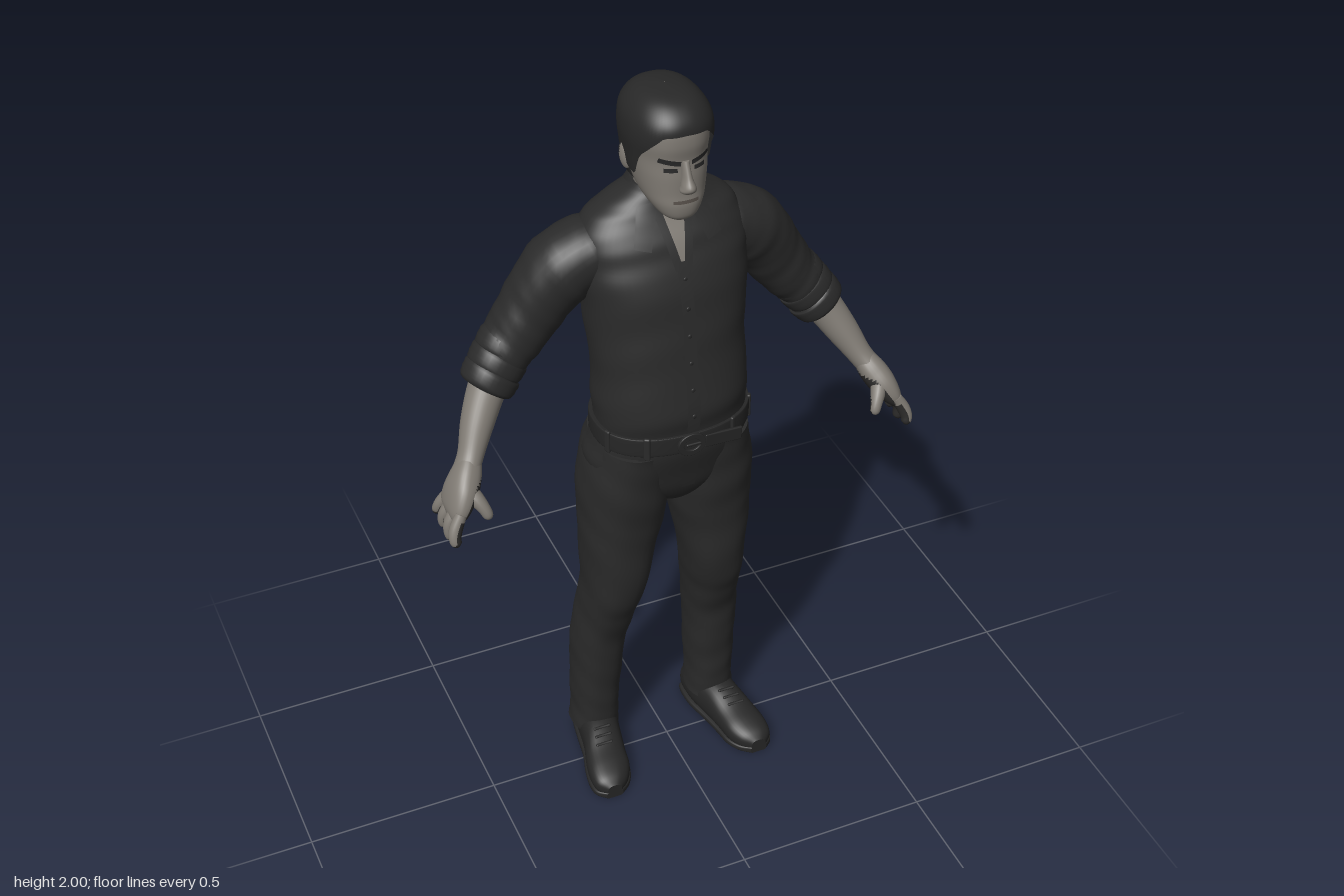
import * as THREE from 'three';
import { RoundedBoxGeometry } from 'three/addons/geometries/RoundedBoxGeometry.js';

const V = (x, y, z) => new THREE.Vector3(x, y, z);
const UP = V(0, 1, 0), Z = V(0, 0, 1);
const spow = (c, e) => Math.sign(c) * Math.pow(Math.abs(c), e);

// surface from f(u, v); front side is along (v direction) x (u direction)
function grid(nu, nv, f, closed = false) {
  const pos = [], idx = [], cols = closed ? nu : nu + 1;
  for (let j = 0; j <= nv; j++) for (let i = 0; i < cols; i++) pos.push(...f(i / nu, j / nv, j));
  for (let j = 0; j < nv; j++) for (let i = 0; i < nu; i++) {
    const k = (i + 1) % cols, a = j * cols + i, b = j * cols + k;
    idx.push(a, a + cols, b, b, a + cols, b + cols);
  }
  const g = new THREE.BufferGeometry();
  g.setAttribute('position', new THREE.Float32BufferAttribute(pos, 3));
  g.setIndex(idx);
  g.computeVertexNormals();
  return g;
}

// smooth interpolation between rows of [x, y, z, radiusA, radiusB]
function sample(rows, t) {
  const s = t * (rows.length - 1), i = Math.min(Math.floor(s), rows.length - 2), f = s - i;
  const r = k => rows[THREE.MathUtils.clamp(k, 0, rows.length - 1)];
  return r(i).map((b, k) => {
    const a = r(i - 1)[k], c = r(i + 1)[k], d = r(i + 2)[k];
    return b + 0.5 * f * (c - a + f * (2 * a - 5 * b + 4 * c - d + f * (3 * (b - c) + d - a)));
  });
}

// row of an upright body at a given height
function sampleAtY(rows, y) {
  let lo = 0, hi = 1;
  for (let i = 0; i < 24; i++) {
    const m = (lo + hi) / 2;
    if (sample(rows, m)[1] < y) lo = m; else hi = m;
  }
  return sample(rows, lo);
}

// skin over cross-sections, capped at both ends
function loft(rows, { n = 2.3, axis = null, ref = Z, seg = 32, steps = 6, fold = 0, floor = -9 } = {}) {
  const N = (rows.length - 1) * steps;
  return grid(seg, N + 4, (u, _, j) => {
    const k = THREE.MathUtils.clamp(j - 2, 0, N), t = k / N;
    const [x, y, z, ra, rb] = sample(rows, t);
    if (j === 0 || j === N + 4) return [x, Math.max(y, floor), z];
    const p = sample(rows, Math.max(0, t - 0.01)), q = sample(rows, Math.min(1, t + 0.01));
    const T = axis ? axis.clone() : V(q[0] - p[0], q[1] - p[1], q[2] - p[2]).normalize();
    const B = ref.clone().addScaledVector(T, -ref.dot(T)).normalize();
    const A = B.clone().cross(T), th = -u * Math.PI * 2, c = Math.cos(th), s = Math.sin(th);
    const w = 1 + fold * (Math.sin(t * 38 + 2.2 * c + 1.5 * s) + 0.6 * Math.sin(t * 67 - 3 * s + 2 * c));
    const v = V(x, y, z).addScaledVector(A, ra * w * spow(c, 2 / n)).addScaledVector(B, rb * w * spow(s, 2 / n));
    return [v.x, Math.max(v.y, floor), v.z];
  }, true);
}

// thin four-cornered plate laid on the front of an upright body
function patch(rows, off, [A, B, C, D], n = 2.3) {
  return grid(8, 10, (u, v) => {
    const mix = k => (A[k] * (1 - u) + B[k] * u) * (1 - v) + (D[k] * (1 - u) + C[k] * u) * v;
    const x = mix(0), y = mix(1), [cx, , cz, rx, rz] = sampleAtY(rows, y);
    const d = Math.min(1, Math.abs((x - cx) / rx));
    return [x, y, cz + rz * Math.pow(1 - Math.pow(d, n), 1 / n) + off];
  });
}
const rect = (x0, x1, y0, y1) => [[x0, y1], [x1, y1], [x1, y0], [x0, y0]];

// second material on the faces turned towards dir, below a height
function twoTone(g, dir, limit, top) {
  const a = g.index.array, p = g.attributes.position, nor = g.attributes.normal, sides = [[], []];
  for (let i = 0; i < a.length; i += 3) {
    const f = [a[i], a[i + 1], a[i + 2]], N = V(0, 0, 0);
    for (const k of f) N.add(V(nor.getX(k), nor.getY(k), nor.getZ(k)));
    sides[N.normalize().dot(dir) > limit && p.getY(f[0]) < top ? 1 : 0].push(...f);
  }
  g.setIndex([...sides[0], ...sides[1]]);
  g.addGroup(0, sides[0].length, 0);
  g.addGroup(sides[0].length, sides[1].length, 1);
  return g;
}

function mirrored(g) {
  const m = g.clone().scale(-1, 1, 1), a = m.index.array;
  for (let i = 0; i < a.length; i += 3) [a[i], a[i + 1]] = [a[i + 1], a[i]];
  m.computeVertexNormals();
  return m;
}

// slight sideways lean of the stance, growing towards the ground
function lean(g) {
  const p = g.attributes.position;
  for (let i = 0; i < p.count; i++) p.setX(i, p.getX(i) - .011 * Math.min(1, Math.max(0, 1.5 - p.getY(i) / .6)));
  return g;
}

export function createModel() {
  const model = new THREE.Group();
  const mat = (name, color) => new THREE.MeshStandardMaterial({ name, color, side: THREE.DoubleSide });
  const shirt = mat('shirt cloth', 0x2a2a2a), denim = mat('trouser cloth', 0x2a2a2a);
  const skin = mat('skin', 0x7f7a73), hairM = mat('hair', 0x282828);
  const leather = mat('leather', 0x262626), lip = mat('lips', 0x57504a), palmM = mat('dark palm', 0x2b2a29);
  const add = (name, g, m) => {
    const mesh = new THREE.Mesh(g, m);
    mesh.name = name;
    model.add(mesh);
  };
  const pair = (name, g, m) => { add(name + 'Left', g, m); add(name + 'Right', mirrored(g), m); };
  const leanPair = (name, g, m) => { add(name + 'Right', lean(mirrored(g)), m); add(name + 'Left', lean(g), m); };

  // shirt body
  const torso = [
    [0, 1.06, .008, .188, .138], [0, 1.13, .012, .187, .14], [0, 1.2, .013, .19, .146], [0, 1.3, 0, .187, .144],
    [0, 1.4, -.017, .195, .147], [0, 1.5, -.027, .203, .142], [0, 1.57, -.04, .207, .13], [0, 1.62, -.047, .2, .115],
    [0, 1.66, -.052, .177, .095], [0, 1.69, -.053, .132, .08], [0, 1.72, -.048, .084, .066], [0, 1.735, -.045, .068, .06]];
  add('shirtBody', loft(torso, { axis: UP, seg: 56, fold: .006 }), shirt);
  add('openNeck', patch(torso, .004, [[-.04, 1.71], [.04, 1.71], [.004, 1.575], [-.004, 1.575]]), skin);
  add('placket', patch(torso, .005, rect(-.016, .016, 1.14, 1.58)), shirt);
  for (let i = 0; i < 6; i++) {
    const y = 1.19 + i * .07, [, , cz, , rz] = sampleAtY(torso, y);
    add('button', new THREE.SphereGeometry(.006, 10, 8).scale(1, 1, .4).translate(0, y, cz + rz + .004), leather);
  }
  // collar: standing band round the back and two flaps
  add('collarBand', grid(40, 4, (u, v) => {
    const a = .55 + u * (Math.PI * 2 - 1.1), back = (1 - Math.cos(a)) / 2;
    const r = .065 + .03 * v * v + .008 * Math.sin(v * Math.PI);
    return [Math.sin(a) * r * 1.08, 1.705 + .055 * back - .06 * v, -.04 - .008 * v + Math.cos(a) * r + .012 * v * (1 - back)];
  }), shirt);
  pair('collarFlap', patch(torso, .009, [[.03, 1.715], [.082, 1.7], [.108, 1.622], [.07, 1.612]]), shirt);
  pair('shirtFrontEdge', patch(torso, .007, [[.03, 1.7], [.05, 1.7], [.02, 1.56], [.002, 1.57]]), shirt);

  // sleeves with rolled cuffs
  pair('sleeve', loft([
    [.1, 1.6, -.052, .04, .06], [.165, 1.58, -.058, .073, .086], [.235, 1.533, -.068, .087, .09],
    [.29, 1.46, -.078, .081, .08], [.34, 1.385, -.082, .074, .075], [.385, 1.33, -.078, .067, .07],
    [.42, 1.285, -.067, .062, .063]], { fold: .014, n: 2.1 }), shirt);
  [[.377, 1.342, -.079], [.401, 1.309, -.072], [.424, 1.276, -.063]].forEach(([x, y, z], i) =>
    pair('cuffRoll', loft([[x - .016, y + .02, z - .005, .061, .062], [x - .009, y + .012, z - .003, .07, .069],
      [x + .009, y - .012, z + .003, .069 - i * .001, .068], [x + .015, y - .02, z + .005, .058, .058]], { n: 2.1, steps: 4, fold: .01 }), shirt));

  // forearms and hands, dark on the palm side
  const inward = V(-.75, -.6, -.2).normalize(), handSkin = [skin, palmM];
  pair('forearm', loft([[.4, 1.31, -.07, .05, .05], [.44, 1.255, -.045, .046, .046], [.477, 1.195, -.012, .04, .041],
    [.508, 1.14, .023, .031, .034], [.528, 1.11, .042, .03, .038]], { n: 2 }), skin);
  pair('palm', twoTone(loft([[.518, 1.125, .034, .028, .032], [.533, 1.1, .05, .034, .042], [.551, 1.07, .063, .034, .054],
    [.569, 1.038, .07, .027, .057], [.578, 1.018, .071, .016, .048]], { n: 2.4 }), inward, .05, 1.1), handSkin);
  for (let i = 0; i < 4; i++) {
    const z = .026 + i * .03, s = (i - 1.5) * .013, tip = [.982, .966, .96, .97][i];
    pair('finger', twoTone(loft([[.57, 1.045, z, .014, .014], [.587, 1.015, z + s * .4, .0165, .015], [.594, .993, z + s * .8, .015, .0135],
      [.592, tip + .008, z + s, .0125, .012], [.589, tip, z + s, .003, .003]], { n: 2, seg: 16, steps: 4 }), inward, -.35, 1.035), handSkin);
  }
  pair('thumb', twoTone(loft([[.542, 1.09, .072, .02, .022], [.527, 1.067, .1, .019, .02], [.514, 1.045, .118, .015, .015],
    [.507, 1.026, .125, .012, .012], [.505, 1.019, .126, .003, .003]], { n: 2, seg: 16, steps: 4 }), V(-.3, -.6, -.7).normalize(), .15, 1.06), handSkin);

  // trousers
  const pelvis = [[0, .862, -.02, .02, .07], [0, .89, -.02, .08, .105], [0, .94, -.018, .17, .131],
    [0, 1, -.012, .208, .142], [0, 1.06, .004, .198, .143], [0, 1.1, .01, .19, .142]];
  add('trouserSeat', loft(pelvis, { axis: UP, seg: 48 }), denim);
  add('fly', patch(pelvis, .004, rect(-.012, .022, .95, 1.08)), denim);
  pair('frontPocket', patch(pelvis, .004, [[.11, 1.075], [.125, 1.075], [.185, 1.005], [.175, 1]]), denim);
  leanPair('trouserLeg', loft([
    [.1, 1.07, .004, .092, .132], [.106, .98, -.014, .106, .14], [.115, .86, -.02, .106, .129], [.124, .75, -.018, .095, .114], [.136, .6, -.02, .077, .105],
    [.145, .5, -.044, .07, .095], [.157, .4, -.064, .068, .085], [.162, .3, -.072, .065, .082], [.165, .2, -.079, .062, .078],
    [.167, .12, -.081, .06, .075], [.168, .065, -.082, .064, .073]], { axis: V(0, -1, 0), fold: .012, steps: 10 }), denim);

  // belt, loops, buckle and loose end
  add('belt', loft([[0, 1.085, .011, .194, .144], [0, 1.09, .012, .197, .147], [0, 1.13, .012, .197, .147], [0, 1.135, .012, .193, .145]],
    { axis: UP, seg: 56 }), leather);
  for (const a of [.55, 1.2, 2.3, Math.PI, -2.3, -1.2, -.55])
    add('beltLoop', new RoundedBoxGeometry(.016, .062, .01, 2, .004).rotateY(a)
      .translate(spow(Math.sin(a), 2 / 2.3) * .196, 1.11, .012 + spow(Math.cos(a), 2 / 2.3) * .147), denim);
  const ring = new THREE.Shape().absellipse(0, 0, .034, .029, 0, Math.PI * 2);
  ring.holes.push(new THREE.Path().absellipse(0, 0, .023, .018, 0, Math.PI * 2, true));
  add('buckle', new THREE.ExtrudeGeometry(ring, { depth: .005, bevelSize: .002, bevelThickness: .002, curveSegments: 24 })
    .translate(-.005, 1.108, .158), leather);
  add('buckleTongue', new RoundedBoxGeometry(.04, .007, .006, 2, .003).translate(0, 1.108, .163), leather);
  add('beltEnd', new RoundedBoxGeometry(.1, .036, .008, 2, .003).rotateY(.06).rotateZ(-.08).translate(.08, 1.1, .153), leather);

  // shoes
  const shoe = [[.157, .045, -.15, .03, .038], [.159, .05, -.135, .048, .055], [.165, .055, -.07, .055, .062],
    [.178, .052, 0, .053, .058], [.192, .042, .06, .056, .045], [.2, .036, .11, .056, .037], [.207, .03, .145, .044, .029], [.209, .026, .166, .02, .016]];
  leanPair('shoe', loft(shoe, { ref: UP, axis: Z, n: 2.4, floor: .004 }), leather);
  leanPair('sole', loft(shoe.map(([x, , z, r]) => [x, .01, z, r + .003, .011]), { ref: UP, axis: Z, n: 4, floor: 0 }), leather);
  for (let i = 0; i < 3; i++)
    leanPair('lace', new THREE.CapsuleGeometry(.004, .04, 4, 8).rotateZ(Math.PI / 2).translate(.182 + i * .005, .106 - i * .009, .012 + i * .021), leather);

  // neck and head
  const hx = -.01;
  add('neck', loft([[0, 1.64, -.05, .058, .055], [0, 1.7, -.04, .06, .06], [-.005, 1.75, -.03, .06, .063],
    [hx, 1.82, -.02, .064, .066]], { axis: UP, n: 2.1 }), skin);
  const head = [[hx, 1.708, .095, .02, .02], [hx, 1.722, .079, .044, .05], [hx, 1.75, .05, .065, .084], [hx, 1.78, .031, .076, .1],
    [hx, 1.82, .019, .083, .111], [hx, 1.86, .013, .086, .114], [hx, 1.9, .014, .089, .118], [hx, 1.94, .013, .084, .113],
    [hx, 1.97, .012, .066, .09], [hx, 1.986, .011, .04, .056], [hx, 1.992, .01, .001, .001]];
  add('head', loft(head, { axis: UP, seg: 40 }), skin);
  add('nose', loft([[hx, 1.787, .13, .008, .01], [hx, 1.797, .138, .019, .02], [hx, 1.81, .141, .016, .024],
    [hx, 1.83, .132, .011, .02], [hx, 1.865, .122, .009, .012]], { axis: UP, n: 2, seg: 20 }), skin);
  add('mouth', patch(head, .003, rect(hx - .03, hx + .03, 1.761, 1.769)), lip);
  for (const s of [-1, 1]) {
    const X = (a, b) => [hx + Math.min(s * a, s * b), hx + Math.max(s * a, s * b)];
    add('eye', patch(head, .003, rect(...X(.02, .048), 1.84, 1.85)), hairM);
    const brow = [[.013, 1.867], [.058, 1.876], [.06, 1.864], [.013, 1.855]].map(([x, y]) => [hx + s * x, y]);
    add('eyebrow', patch(head, .005, s > 0 ? brow : [brow[1], brow[0], brow[3], brow[2]]), hairM);
    // ears, dark behind
    add('ear', twoTone(new THREE.SphereGeometry(1, 20, 14).scale(.01, .032, .019).rotateX(-.2).rotateY(s * -.3)
      .translate(hx + s * .089, 1.83, -.004), V(0, 0, -1), 0, 2), [skin, hairM]);
  }

  // hair cap: lower edge follows a hairline by angle from the front
  const line = [[0, 1.928], [.5, 1.925], [.8, 1.9], [1.1, 1.87], [1.35, 1.815], [1.55, 1.815], [1.75, 1.83], [2, 1.785], [2.3, 1.758], [3.2, 1.748]];
  add('hair', grid(72, 24, (u, v) => {
    const a = u * Math.PI * 2, d = Math.min(a, Math.PI * 2 - a);
    const i = line.findIndex(p => p[0] > d), [a0, y0] = line[i - 1], [a1, y1] = line[i];
    const low = y0 + (y1 - y0) * (d - a0) / (a1 - a0), y = low + (1.992 - low) * Math.sin(v * Math.PI / 2);
    const [cx, , cz, rx, rz] = sampleAtY(head, y), k = 1.07 + .03 * Math.sin(Math.min(1, v * 2) * Math.PI / 2) * (1 - v);
    return [cx - spow(Math.sin(a), .87) * rx * (k + .03), 1.86 + (y - 1.86) * 1.06, .01 + (cz - .01 + spow(Math.cos(a), .87) * rz) * k];
  }, true), hairM);

  return model;
}
